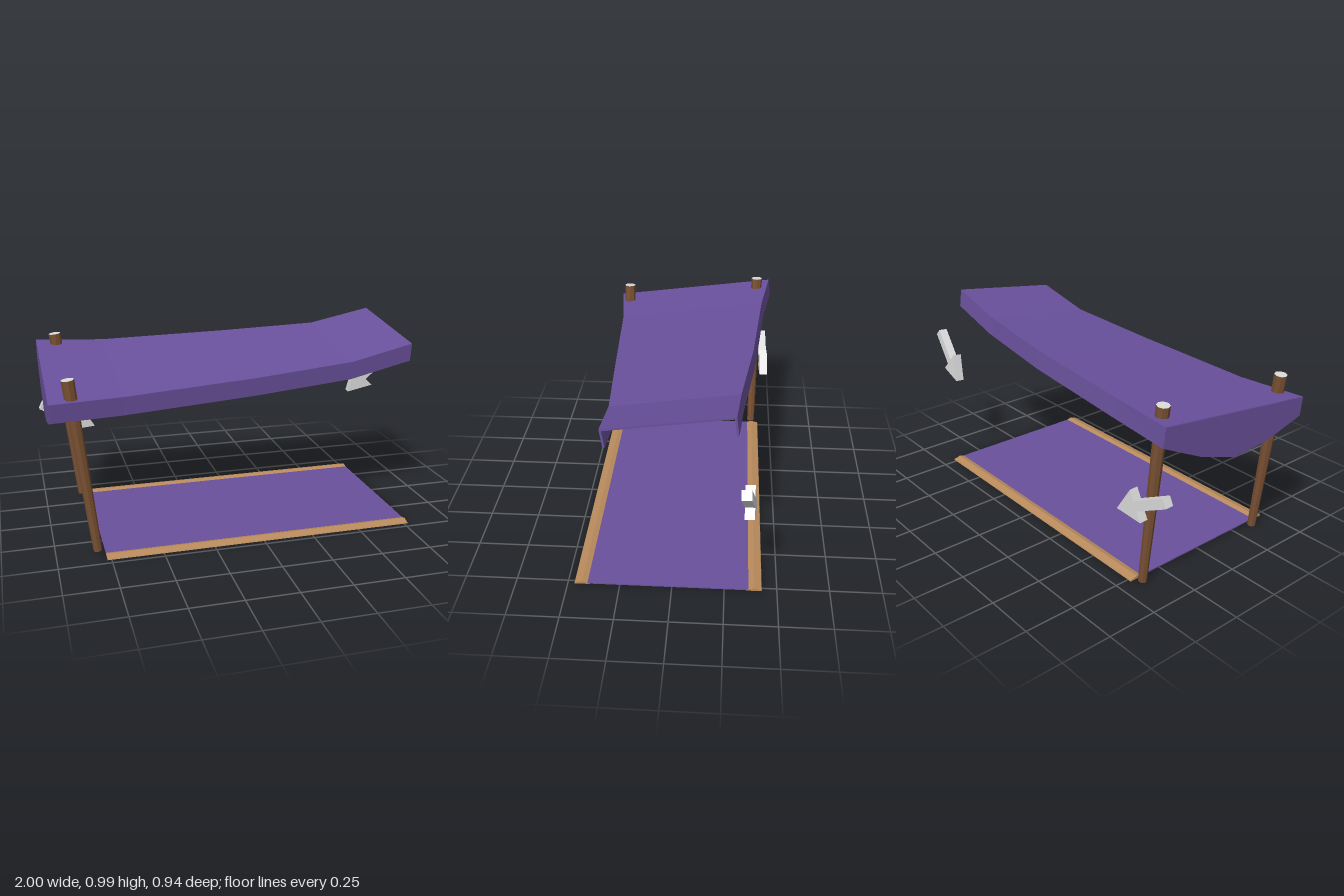
import * as THREE from 'three';

const mat = (name, color) => {
  const m = new THREE.MeshStandardMaterial({ color });
  m.name = name;
  return m;
};

export function createModel() {
  const cloth = mat('purple cloth', 0x6a519d);
  const bark = mat('dark wood', 0x7a5133);
  const trim = mat('light wood', 0xb98b5c);
  const grey = mat('pale grey', 0xdadada);

  const group = new THREE.Group();
  const add = (name, geo, material) => {
    const mesh = new THREE.Mesh(geo, material);
    mesh.name = name;
    group.add(mesh);
    return mesh;
  };

  // Canopy: channel section lofted along x; [x, back z, back y, front z, front y]
  const stations = [
    [-0.99, -0.46, 0.872, 0.417, 0.76],
    [-0.65, -0.412, 0.864, 0.376, 0.761],
    [0, -0.36, 0.887, 0.337, 0.795],
    [0.5, -0.3, 0.915, 0.303, 0.832],
    [0.82, -0.28, 0.986, 0.3, 0.905],
  ];
  const drop = 0.092, thick = 0.01;
  const loops = stations.map(([x, bz, by, fz, fy]) => {
    const B = new THREE.Vector3(x, by, bz), C = new THREE.Vector3(x, fy, fz);
    const across = C.clone().sub(B).normalize();
    const down = new THREE.Vector3(0, -across.z, across.y);
    const at = (p, a, d) => p.clone().addScaledVector(across, a).addScaledVector(down, d);
    return [at(B, 0, drop), B, C, at(C, 0, drop),
      at(C, -thick, drop), at(C, -thick, thick), at(B, thick, thick), at(B, thick, drop)];
  });
  const pos = [];
  const quad = (a, b, c, d) => [a, b, c, a, c, d].forEach(p => pos.push(p.x, p.y, p.z));
  for (let s = 0; s < loops.length - 1; s++) {
    for (let i = 0; i < 8; i++) {
      const j = (i + 1) % 8;
      quad(loops[s][i], loops[s][j], loops[s + 1][j], loops[s + 1][i]);
    }
  }
  const first = loops[0], last = loops[loops.length - 1];
  for (const [a, b, c, d] of [[0, 1, 6, 7], [1, 2, 5, 6], [2, 3, 4, 5]]) {
    quad(last[a], last[b], last[c], last[d]);
    quad(first[d], first[c], first[b], first[a]);
  }
  const canopy = new THREE.BufferGeometry();
  canopy.setAttribute('position', new THREE.Float32BufferAttribute(pos, 3));
  canopy.computeVertexNormals();
  add('canopy', canopy, cloth);

  // Scalloped end flap, outlined as [z, y]
  const outline = [[-0.46, 0.87], [-0.468, 0.78], [-0.24, 0.667], [-0.03, 0.598],
    [0.18, 0.61], [0.335, 0.65], [0.405, 0.668], [0.416, 0.758]];
  const flapShape = new THREE.Shape(outline.map(([z, y]) => new THREE.Vector2(-z, y)));
  const flap = new THREE.ExtrudeGeometry(flapShape, { depth: 0.01, bevelEnabled: false });
  flap.rotateY(Math.PI / 2).translate(-0.992, 0, 0);
  add('endFlap', flap, cloth);

  // Leaning tapered poles with pale cut tops
  for (const [name, z, top] of [['frontPole', 0.361, 0.855], ['backPole', -0.386, 0.915]]) {
    const a = new THREE.Vector3(-0.802, 0.006, z), b = new THREE.Vector3(-0.897, top, z);
    const axis = b.clone().sub(a);
    const geo = new THREE.CylinderGeometry(0.031, 0.021, axis.length(), 8).toNonIndexed();
    geo.computeVertexNormals();
    const tilt = new THREE.Quaternion().setFromUnitVectors(
      new THREE.Vector3(0, 1, 0), axis.clone().normalize());
    const pole = add(name, geo, bark);
    pole.position.copy(a).add(b).multiplyScalar(0.5);
    pole.quaternion.copy(tilt);
    const cap = add(name + 'Top', new THREE.CylinderGeometry(0.0305, 0.0305, 0.002, 8), grey);
    cap.position.copy(b);
    cap.quaternion.copy(tilt);
  }

  // Ground mat with low ridged wooden edges
  const floor = add('floorMat', new THREE.BoxGeometry(1.54, 0.006, 0.77), cloth);
  floor.position.set(0, 0.005, 0.02);
  for (const [name, z] of [['frontFloorEdge', 0.431], ['backFloorEdge', -0.391]]) {
    const section = new THREE.Shape([[-0.038, 0], [0.038, 0], [0.036, 0.005], [0, 0.015], [-0.036, 0.005]]
      .map(p => new THREE.Vector2(...p)));
    const geo = new THREE.ExtrudeGeometry(section, { depth: 1.54, bevelEnabled: false });
    geo.translate(0, 0, -0.77).rotateY(Math.PI / 2);
    add(name, geo, trim).position.z = z;
  }

  // Arrows, each a thick plate pointing from tail to tip
  const arrow = (name, tail, tip) => {
    const X = tip.clone().sub(tail);
    const len = X.length(), neck = len - 0.125, w = 0.023, h = 0.076;
    X.normalize();
    const Y = new THREE.Vector3(0, 0, 1).cross(X).normalize();
    const Z = X.clone().cross(Y);
    const shape = new THREE.Shape([[0, -w], [neck, -w], [neck, -h], [len, 0], [neck, h], [neck, w], [0, w]]
      .map(p => new THREE.Vector2(...p)));
    const geo = new THREE.ExtrudeGeometry(shape, { depth: 0.045, bevelEnabled: false });
    geo.translate(0, 0, -0.0225);
    geo.applyMatrix4(new THREE.Matrix4().makeBasis(X, Y, Z).setPosition(tail));
    add(name, geo, grey);
  };
  arrow('leftArrow', new THREE.Vector3(0.982, 0.71, -0.33), new THREE.Vector3(0.757, 0.487, -0.363));
  arrow('rightArrow', new THREE.Vector3(-0.99, 0.52, -0.432), new THREE.Vector3(-0.712, 0.378, -0.446));

  return group;
}
